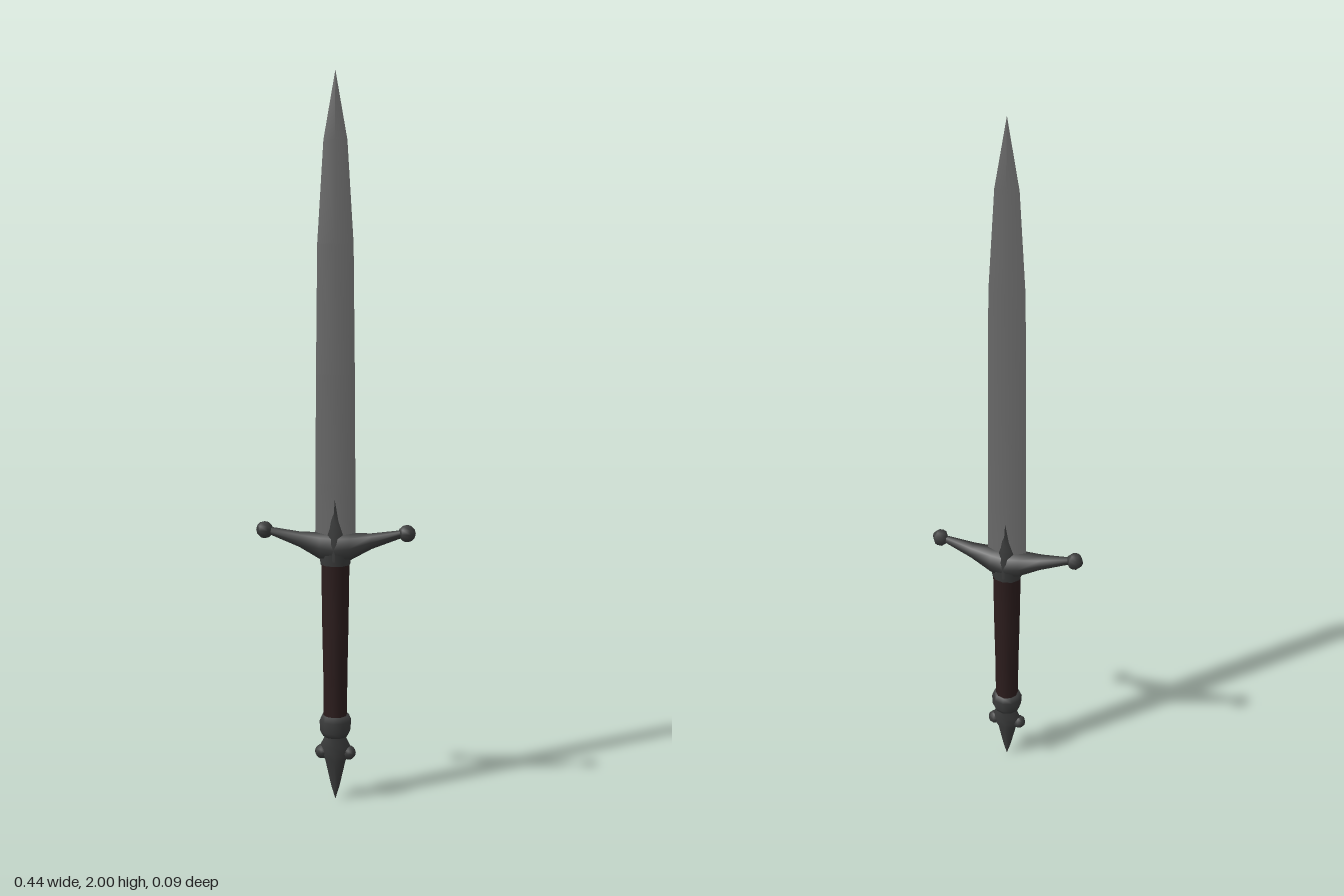
import * as THREE from 'three';

// Skin a list of rings with triangles; closed rings wrap around
function loft(rings, closed = true) {
  const n = rings[0].length, index = [];
  for (let i = 0; i < rings.length - 1; i++) {
    for (let j = 0; j < (closed ? n : n - 1); j++) {
      const k = (j + 1) % n;
      const a = i * n + j, b = i * n + k, c = a + n, d = b + n;
      index.push(a, b, c, b, d, c);
    }
  }
  const geo = new THREE.BufferGeometry();
  geo.setAttribute('position', new THREE.Float32BufferAttribute(rings.flat(2), 3));
  geo.setIndex(index);
  geo.computeVertexNormals();
  return geo;
}

const angles = (n) => Array.from({ length: n }, (_, i) => (i / n) * Math.PI * 2);

// Upright body from rows of [y, half width, half depth], lowest first
const upright = (rows, sides) =>
  loft(rows.map(([y, w, d]) => angles(sides).map((a) => [Math.sin(a) * w, y, Math.cos(a) * d])));

export function createModel() {
  const group = new THREE.Group();
  const steel = new THREE.MeshStandardMaterial({ name: 'blade steel', color: 0x6c6c6c });
  const iron = new THREE.MeshStandardMaterial({ name: 'dark iron', color: 0x3b3c3c });
  const leather = new THREE.MeshStandardMaterial({ name: 'dark leather', color: 0x2c1d1d });

  const add = (name, geo, mat) => {
    const mesh = new THREE.Mesh(geo, mat);
    mesh.name = name;
    group.add(mesh);
    return mesh;
  };

  // Blade: two ridged faces meeting at sharp edges
  const bladeRows = [
    [0.74, 0.056, 0.018], [0.9, 0.055, 0.017], [1.2, 0.053, 0.015],
    [1.55, 0.049, 0.012], [1.82, 0.032, 0.008], [2.0, 0, 0],
  ];
  const face = loft(bladeRows.map(([y, w, d]) => [[-w, y, 0], [0, y, d], [w, y, 0]]), false);
  add('bladeFront', face, steel);
  add('bladeBack', face, steel).rotation.y = Math.PI;

  // Crossguard: arms tapering outward, rows of [x, bottom, top, half depth]
  const arm = [
    [0, 0.68, 0.765, 0.042], [0.04, 0.688, 0.765, 0.035],
    [0.1, 0.722, 0.766, 0.023], [0.19, 0.758, 0.778, 0.008],
  ];
  const guardRows = [...arm.slice(1).reverse().map(([x, ...r]) => [-x, ...r]), ...arm];
  add('crossguard', loft(guardRows.map(([x, lo, hi, d]) =>
    angles(8).map((a) => [x, (lo + hi) / 2 + Math.cos(a) * (hi - lo) / 2, Math.sin(a) * d]))), iron);

  // Pointed spike rising from the guard over the blade
  add('guardSpike', upright([[0.69, 0.03, 0.04], [0.74, 0.034, 0.044], [0.8, 0.019, 0.031], [0.86, 0.001, 0.018]], 4), iron);

  // Ball finials on the guard
  for (const side of [-1, 1]) {
    add(side > 0 ? 'leftFinial' : 'rightFinial', new THREE.SphereGeometry(0.024, 6, 6), iron)
      .position.set(side * 0.197, 0.768, 0);
  }

  // Grip and its collar under the guard
  add('grip', upright([[0.23, 0.033, 0.033], [0.36, 0.034, 0.034], [0.5, 0.037, 0.034], [0.7, 0.04, 0.034]], 10), leather);
  add('gripCollar', upright([[0.675, 0.036, 0.032], [0.677, 0.042, 0.036], [0.715, 0.044, 0.037]], 10), iron);

  // Pommel ring
  add('pommelRing', upright([
    [0.185, 0, 0], [0.187, 0.035, 0.034], [0.202, 0.043, 0.042],
    [0.232, 0.045, 0.043], [0.247, 0.038, 0.037], [0.249, 0, 0],
  ], 10), iron);

  // Pommel: flared body running down to a point
  add('pommelSpike', upright([
    [0, 0, 0], [0.04, 0.012, 0.009], [0.115, 0.029, 0.02],
    [0.13, 0.042, 0.021], [0.155, 0.044, 0.023], [0.18, 0.031, 0.024], [0.2, 0.026, 0.025],
  ], 8), iron);

  // Rounded lobes on either side of the pommel
  for (const side of [-1, 1]) {
    const lobe = add(side > 0 ? 'leftLobe' : 'rightLobe', new THREE.SphereGeometry(0.02, 8, 6), iron);
    lobe.position.set(side * 0.038, 0.138, 0);
  }
  return group;
}
